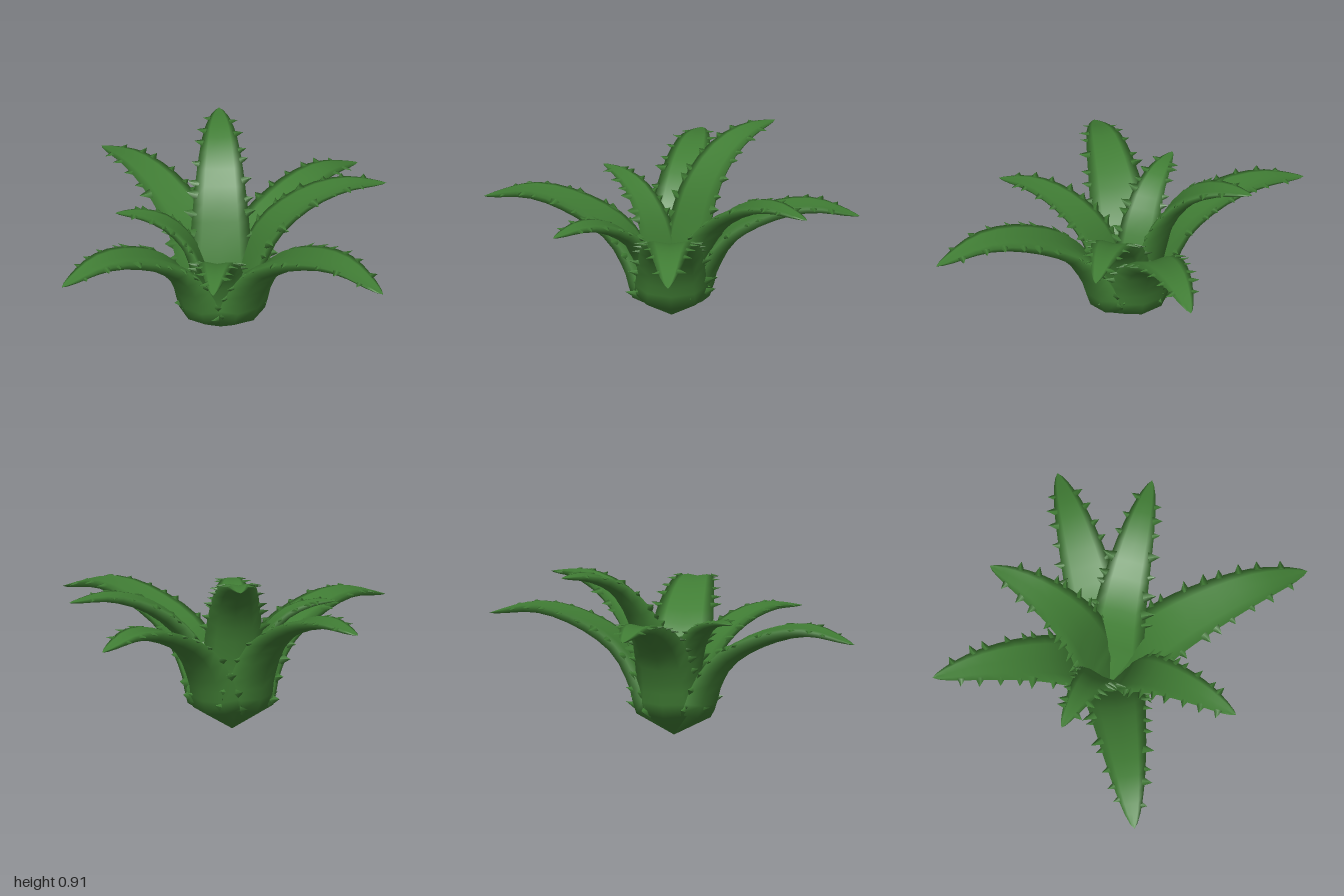
import * as THREE from 'three';
import { mergeGeometries } from 'three/addons/utils/BufferGeometryUtils.js';

const ROOT = new THREE.Vector3(-0.09, 0, 0);
const UP = new THREE.Vector3(0, 1, 0);

// Tip x, tip z, highest point, tip height, half width
const LEAVES = [
  [0.07, -0.96, 0.64, 0.59, 0.165],
  [0.47, -0.67, 0.75, 0.73, 0.155],
  [-0.51, -0.55, 0.89, 0.90, 0.17],
  [-1.0, -0.20, 0.695, 0.67, 0.165],
  [-0.52, 0.33, 0.66, 0.67, 0.125],
  [-0.40, 0.95, 0.61, 0.55, 0.17],
  [0.33, 0.63, 0.62, 0.60, 0.14],
  [1.0, 0.07, 0.65, 0.58, 0.18],
];

// Leaf cross-section: shallow gutter above, rounded keel below
const SECTION = [[1, 0.16], [0.62, 0.22], [0, 0.12], [-0.62, 0.22],
  [-1, 0.16], [-0.65, -0.24], [0, -0.4], [0.65, -0.24]];

// Share of full width along the leaf length
const WIDTHS = [[0, 0], [0.155, 1.06], [0.3, 0.96], [0.5, 0.83], [0.68, 0.67],
  [0.82, 0.49], [0.93, 0.27], [0.98, 0.11], [1, 0]];

function widthAt(u) {
  let k = 1;
  while (k < WIDTHS.length - 1 && u > WIDTHS[k][0]) k++;
  const [u0, w0] = WIDTHS[k - 1], [u1, w1] = WIDTHS[k];
  return w0 + (w1 - w0) * (u - u0) / (u1 - u0);
}

// Small seeded random source for uneven thorns
let seed = 7;
function rand() {
  seed = (seed * 16807) % 2147483647;
  return seed / 2147483647;
}

// Position and axes along an arching leaf
function leafFrame([x, z, high, tipY]) {
  const reach = Math.hypot(x - ROOT.x, z - ROOT.z);
  const out = new THREE.Vector3(x - ROOT.x, 0, z - ROOT.z).normalize();
  const profile = [[0, 0], [0.135, 0.22], [0.18, 0.43], [0.29, 0.71],
    [0.5, 0.91], [0.74, 0.995], [1, tipY / high]];
  const curve = new THREE.CatmullRomCurve3(profile.map(([r, h]) =>
    ROOT.clone().addScaledVector(out, r * reach).setY(h * high)));
  const side = out.clone().cross(UP);
  return (u) => {
    const tangent = curve.getTangentAt(u);
    return { p: curve.getPointAt(u), tangent, side, normal: side.clone().cross(tangent) };
  };
}

// The first long step leaves a straight, pointed foot
function bladeGeometry(frame, width) {
  const stations = [0, 0.155, 0.2, 0.25, 0.3, 0.37, 0.44, 0.51, 0.58,
    0.65, 0.72, 0.79, 0.85, 0.9, 0.94, 0.98, 1];
  const pos = [], index = [], n = SECTION.length;
  stations.forEach((u, i) => {
    const { p, side, normal } = frame(u);
    const w = width * widthAt(u);
    const swell = 0.3 * Math.max(0, 1 - u / 0.45);
    SECTION.forEach(([a, b], j) => {
      // Near the foot the upper face swells instead of forming a gutter
      const lift = b > 0 ? b + swell * (1 - a * a) : b;
      const v = p.clone().addScaledVector(side, a * w).addScaledVector(normal, lift * w);
      pos.push(v.x, v.y, v.z);
      if (i === 0) return;
      const k = (j + 1) % n, lo = (i - 1) * n, hi = i * n;
      index.push(lo + j, hi + j, lo + k, hi + j, hi + k, lo + k);
    });
  });
  const geo = new THREE.BufferGeometry();
  geo.setAttribute('position', new THREE.Float32BufferAttribute(pos, 3));
  geo.setIndex(index);
  geo.computeVertexNormals();
  return geo;
}

// Rows of flat triangular spikes along both margins, leaning towards the tip
function thornGeometry(frame, width) {
  const parts = [], count = 11;
  for (const s of [-1, 1]) {
    for (let i = 0; i < count; i++) {
      const u = 0.15 + 0.8 * (i + 0.6 * rand()) / count;
      const { p, tangent, side, normal } = frame(u);
      const w = width * widthAt(u);
      const size = (0.75 + 0.5 * rand()) * (1 - 0.45 * u);
      const dir = side.clone().multiplyScalar(s).addScaledVector(tangent, 0.3)
        .addScaledVector(normal, 0.3 * (rand() - 0.5)).normalize();
      const across = dir.clone().cross(tangent).normalize();
      const along = dir.clone().cross(across);
      const cone = new THREE.ConeGeometry(0.036 * size, 0.075 * size, 4).scale(1, 1, 0.35);
      cone.applyMatrix4(new THREE.Matrix4().makeBasis(along, dir, across));
      const at = p.addScaledVector(side, s * (w + 0.012)).addScaledVector(normal, 0.14 * w);
      parts.push(cone.translate(at.x, at.y, at.z));
    }
  }
  return mergeGeometries(parts);
}

export function createModel() {
  const model = new THREE.Group();
  model.name = 'succulentPlant';
  const green = new THREE.MeshStandardMaterial({ color: 0x417e35 });
  green.name = 'leafGreen';
  seed = 7;

  LEAVES.forEach((spec, i) => {
    const frame = leafFrame(spec), width = spec[4];
    const leaf = new THREE.Group();
    leaf.name = 'leaf' + (i + 1);
    const blade = new THREE.Mesh(bladeGeometry(frame, width), green);
    blade.name = 'blade';
    const thorns = new THREE.Mesh(thornGeometry(frame, width), green);
    thorns.name = 'thorns';
    leaf.add(blade, thorns);
    model.add(leaf);
  });
  return model;
}
